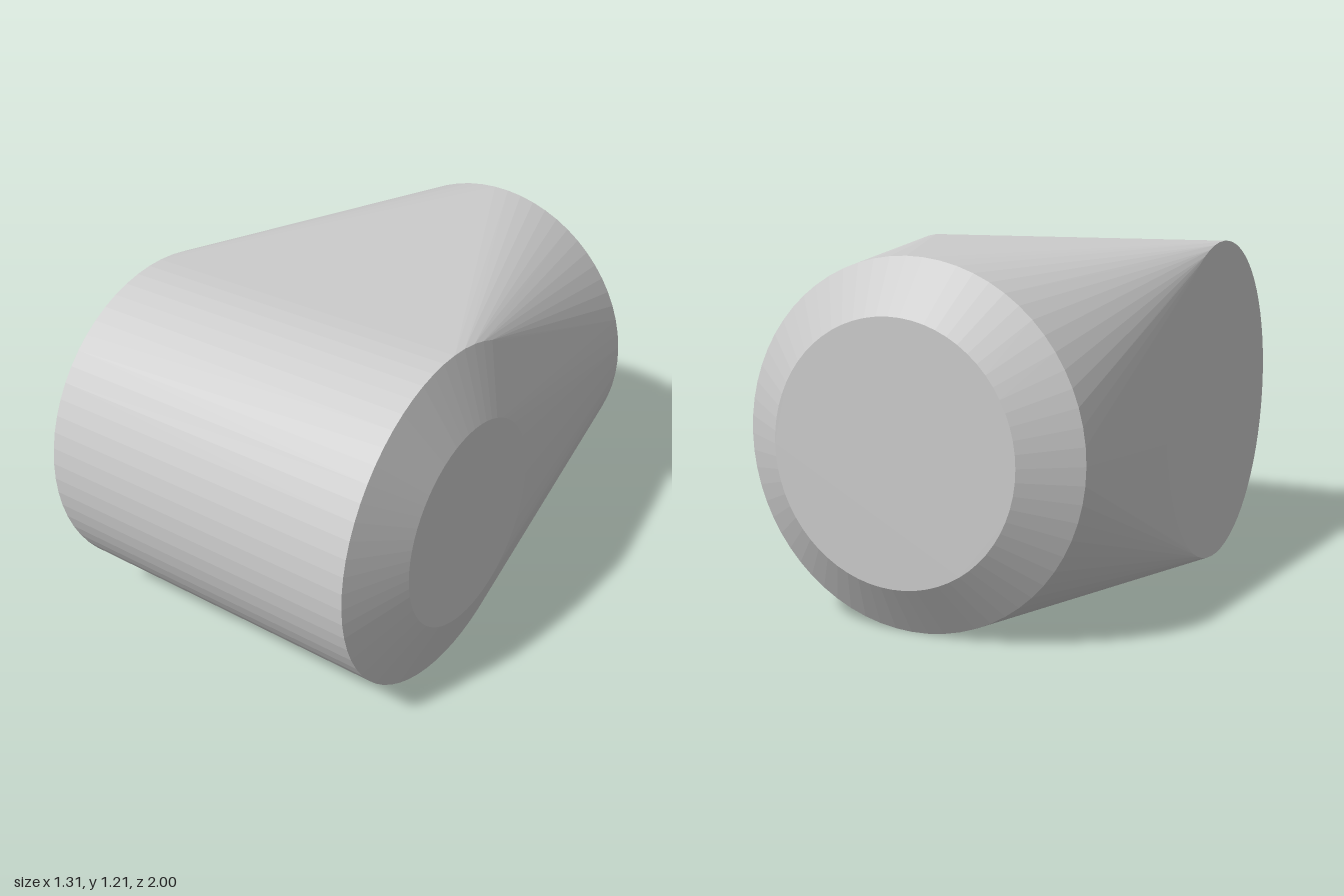
import * as THREE from 'three';
import { ConvexGeometry } from 'three/addons/geometries/ConvexGeometry.js';

const R = 0.6025;      // body radius, also the height of both axes
const SEGMENTS = 64;

// Ring of points around an axis parallel to x or z.
function ring(axis, along, across, radius) {
  return Array.from({ length: SEGMENTS }, (_, i) => {
    const a = (i / SEGMENTS) * Math.PI * 2;
    const u = across + Math.cos(a) * radius;
    const y = R + Math.sin(a) * radius;
    return axis === 'x' ? new THREE.Vector3(along, y, u) : new THREE.Vector3(u, y, along);
  });
}

export function createModel() {
  const group = new THREE.Group();
  group.name = 'teeShell';

  // Tight skin around a crosswise drum and a chamfered branch pointing back
  const points = [
    ...ring('x', -0.657, 0.398, R),      // flat end of the drum
    ...ring('x', 0.573, 0.398, R),       // chamfered end of the drum
    ...ring('x', 0.657, 0.398, 0.365),
    ...ring('z', -0.883, -0.043, R),     // chamfered end of the branch
    ...ring('z', -1, -0.043, 0.427),
  ];
  const shell = new THREE.Mesh(
    new ConvexGeometry(points),
    new THREE.MeshStandardMaterial({ color: 0xcccccc, flatShading: true })
  );
  shell.name = 'shell';
  group.add(shell);
  return group;
}
